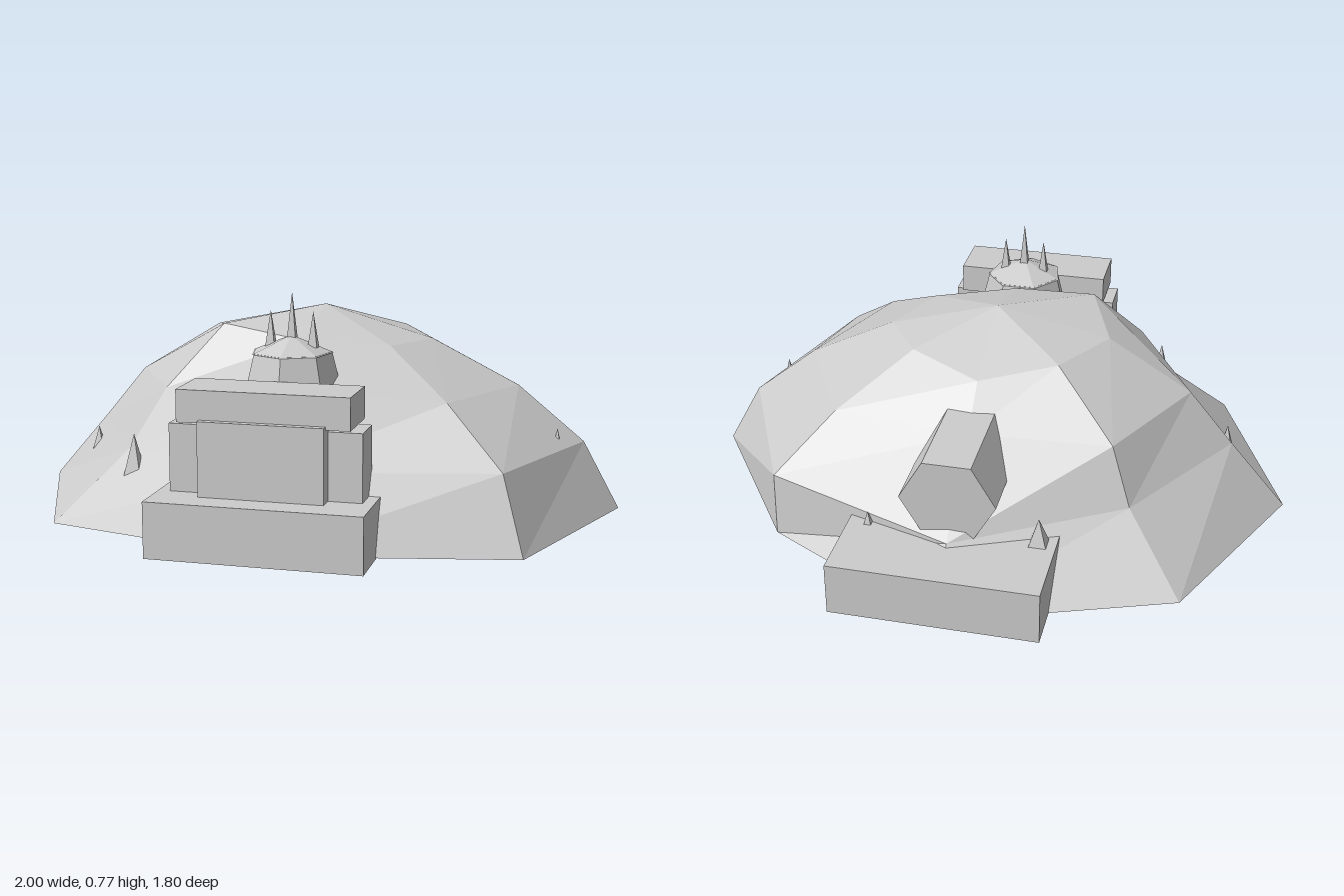
import * as THREE from 'three';

export function createModel() {
  const model = new THREE.Group();
  const stone = new THREE.MeshStandardMaterial({ color: 0xcccccc, flatShading: true, side: THREE.DoubleSide });
  stone.name = 'pale grey stone';

  const add = (name, geometry, x, y, z) => {
    const mesh = new THREE.Mesh(geometry, stone);
    mesh.name = name;
    mesh.position.set(x, y, z);
    model.add(mesh);
    return mesh;
  };
  // Box given by its limits on each axis
  const block = (name, [x0, x1], [y0, y1], [z0, z1]) =>
    add(name, new THREE.BoxGeometry(x1 - x0, y1 - y0, z1 - z0), (x0 + x1) / 2, (y0 + y1) / 2, (z0 + z1) / 2);
  // Four-sided spike standing on its base
  const spike = (name, x, y, z, radius, height) => {
    const g = new THREE.ConeGeometry(radius, height, 4);
    g.rotateY(Math.PI / 4);
    return add(name, g, x, y + height / 2, z);
  };

  // Faceted, slightly uneven hill: each column runs down from the summit to the rim
  const summit = [0, 0.68, 0];
  const columns = [
    [[0.37, 0.575, 0], [0.66, 0.43, 0], [0.88, 0.25, 0], [1, 0.03, 0]],
    [[0.27, 0.58, 0.22], [0.49, 0.44, 0.41], [0.69, 0.27, 0.58], [0.765, 0.03, 0.65]],
    [[0, 0.6, 0.3], [0, 0.49, 0.54], [0, 0.26, 0.7], [0, 0.03, 0.81]],
    [[-0.285, 0.637, 0.24], [-0.44, 0.44, 0.38], [-0.54, 0.25, 0.465], [-0.74, 0.03, 0.63]],
    [[-0.38, 0.6, 0], [-0.66, 0.43, 0], [-0.81, 0.25, 0], [-1, 0.03, 0]],
    [[-0.25, 0.6, -0.22], [-0.46, 0.43, -0.395], [-0.53, 0.25, -0.46], [-0.72, 0.03, -0.62]],
    [[0, 0.555, -0.3], [0, 0.43, -0.425], [0, 0.21, -0.72], [0, 0.03, -0.88]],
    [[0.24, 0.59, -0.2], [0.46, 0.43, -0.38], [0.63, 0.25, -0.53], [0.63, 0.03, -0.54]],
  ];
  const points = [];
  columns.forEach((near, j) => {
    const next = columns[(j + 1) % columns.length];
    points.push(...summit, ...next[0], ...near[0]);
    for (let i = 0; i < 3; i++) {
      points.push(...near[i], ...next[i], ...next[i + 1]);
      points.push(...near[i], ...next[i + 1], ...near[i + 1]);
    }
  });
  const hill = new THREE.BufferGeometry();
  hill.setAttribute('position', new THREE.Float32BufferAttribute(points, 3));
  hill.computeVertexNormals();
  add('hill', hill, 0, 0, 0);

  // Floor slab and the pointed stones around its edge
  const floor = add('floor', new THREE.CylinderGeometry(1, 1, 0.015, 14), 0, 0.0175, 0);
  floor.scale.set(0.78, 1, 0.68);
  for (let i = 0; i < 8; i++) {
    const a = (i / 8) * Math.PI * 2;
    const rock = spike('rimStone', Math.cos(a) * 0.785, 0.012, Math.sin(a) * 0.685, 0.07, 0.12);
    rock.rotation.set(Math.sin(a) * 0.12, i * 1.3, -Math.cos(a) * 0.12);
  }

  // Front gatehouse
  block('frontTerrace', [-0.332, 0.338], [0.025, 0.2], [0.6, 0.9]);
  block('gateWall', [-0.295, 0.303], [0.2, 0.41], [0.635, 0.76]);
  block('gatePanel', [-0.19, 0.198], [0.2, 0.43], [0.635, 0.81]);
  block('gateLintel', [-0.262, 0.272], [0.42, 0.52], [0.6, 0.787]);

  // Rear terrace and hexagonal tunnel
  block('rearTerrace', [-0.332, 0.338], [0.025, 0.2], [-0.9, -0.57]);
  const tunnel = new THREE.CylinderGeometry(0.155, 0.155, 0.48, 6);
  tunnel.rotateY(Math.PI / 2);
  tunnel.rotateX(Math.PI / 2);
  add('rearTunnel', tunnel, 0.005, 0.344, -0.445).rotation.x = -0.02;

  // Turret with a pointed roof and three spires
  add('turret', new THREE.CylinderGeometry(0.127, 0.157, 0.12, 7), 0.003, 0.53, 0.452);
  add('turretRoof', new THREE.ConeGeometry(0.132, 0.055, 7), 0.003, 0.615, 0.452);
  for (const [x, y, h] of [[-0.064, 0.605, 0.113], [0.005, 0.62, 0.157], [0.073, 0.605, 0.113]])
    spike('spire', x, y, 0.45, 0.021, h);

  // Small spikes on the slopes
  for (const s of [
    [-0.785, 0.16, 0.13, 0.026, 0.08], [0.803, 0.28, 0.115, 0.01, 0.035],
    [-0.5, 0.17, 0.525, 0.042, 0.145], [-0.275, 0.2, -0.64, 0.039, 0.09],
    [0.273, 0.2, -0.652, 0.016, 0.045],
  ]) spike('slopeSpike', ...s);

  return model;
}
